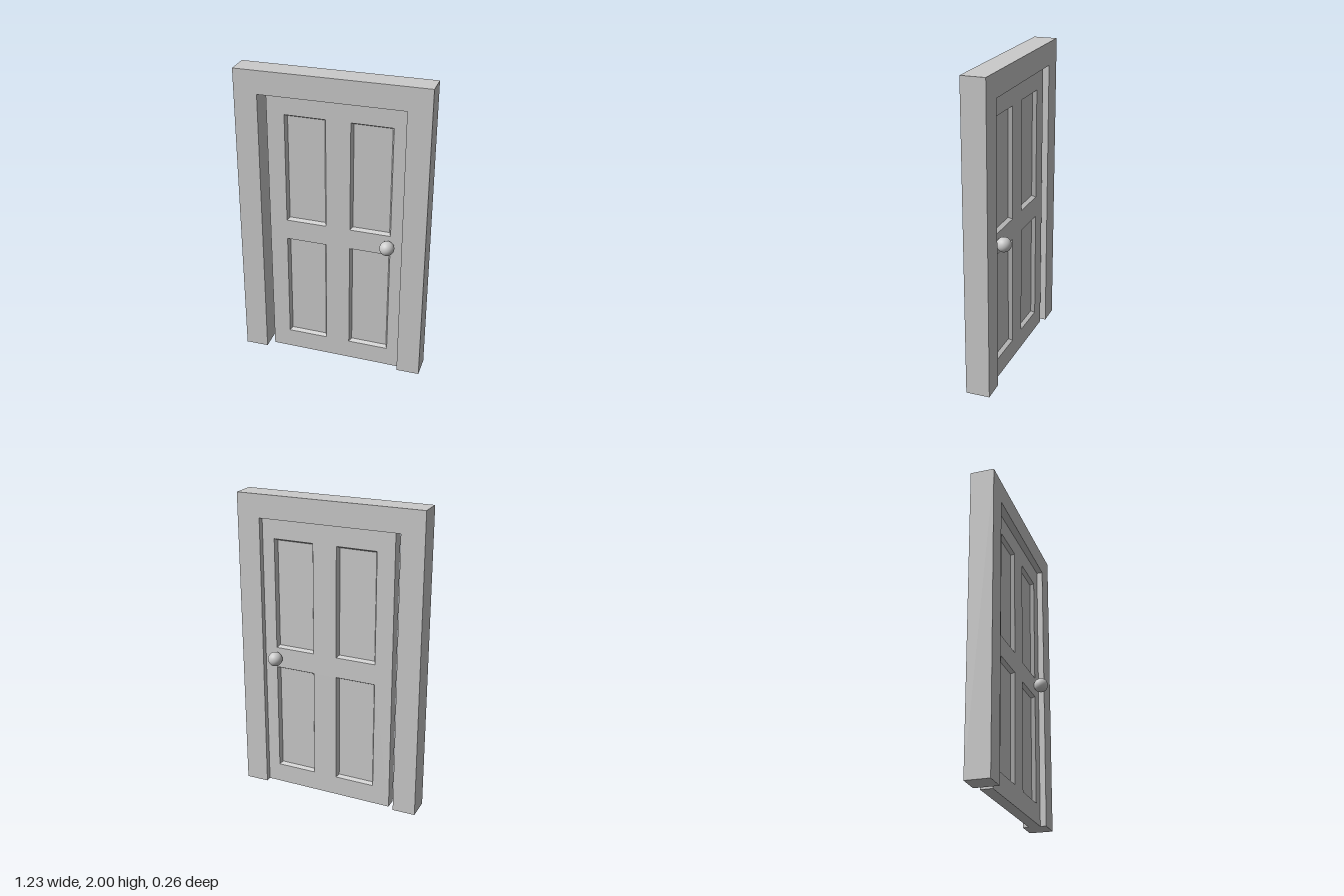
import * as THREE from 'three';

const material = new THREE.MeshStandardMaterial({ color: 0xcccccc });

const FRAME = { halfWidth: 0.6125, height: 2, halfDepth: 0.077, openHalf: 0.4625, openTop: 1.85 };
const DOOR = { halfWidth: 0.46, height: 1.85, halfDepth: 0.038, recess: 0.025, bevel: 0.013 };

function mesh(name, geometry) {
  const m = new THREE.Mesh(geometry, material);
  m.name = name;
  return m;
}

// Counter-clockwise corners of a rectangle, seen from +z
function rectangle(x0, y0, x1, y1) {
  return [[x0, y0], [x1, y0], [x1, y1], [x0, y1]].map(([x, y]) => new THREE.Vector2(x, y));
}

// Flat-sided walls joining one rectangle to another, with an optional end cap
function loftRectangles(a, za, b, zb, cap) {
  const positions = [];
  const push = (p, z) => positions.push(p.x, p.y, z);
  for (let i = 0; i < 4; i++) {
    const j = (i + 1) % 4;
    push(a[i], za); push(a[j], za); push(b[j], zb);
    push(a[i], za); push(b[j], zb); push(b[i], zb);
  }
  if (cap) [0, 1, 2, 0, 2, 3].forEach((i) => push(b[i], zb));
  const geometry = new THREE.BufferGeometry();
  geometry.setAttribute('position', new THREE.Float32BufferAttribute(positions, 3));
  geometry.computeVertexNormals();
  return geometry;
}

// Two jambs and a header in one piece
function createFrame() {
  const { halfWidth: w, height: h, halfDepth: d, openHalf: o, openTop: t } = FRAME;
  const outline = [[-w, 0], [-o, 0], [-o, t], [o, t], [o, 0], [w, 0], [w, h], [-w, h]];
  const shape = new THREE.Shape(outline.map(([x, y]) => new THREE.Vector2(x, y)));
  const geometry = new THREE.ExtrudeGeometry(shape, { depth: 2 * d, bevelEnabled: false });
  geometry.translate(0, 0, -d);
  return mesh('doorFrame', geometry);
}

// One side of the door: face with four recessed panels, half the edge, and a knob
function createDoorSide(name, knobX) {
  const side = new THREE.Group();
  side.name = name;
  const { halfWidth: w, height: h, halfDepth: d, recess, bevel: b } = DOOR;
  const outer = rectangle(-w, 0, w, h);
  const face = new THREE.Shape(outer);

  for (const [x0, x1] of [[-0.345, -0.079], [0.079, 0.345]]) {
    for (const [y0, y1] of [[0.13, 0.857], [0.993, 1.72]]) {
      const rim = rectangle(x0, y0, x1, y1);
      const floor = rectangle(x0 + b, y0 + b, x1 - b, y1 - b);
      face.holes.push(new THREE.Path(rim));
      side.add(mesh('recessedPanel', loftRectangles(rim, d, floor, d - recess, true)));
    }
  }

  side.add(mesh('doorFace', new THREE.ShapeGeometry(face).translate(0, 0, d)));
  side.add(mesh('doorEdge', loftRectangles(outer, 0, outer, d, false)));

  const knob = mesh('knob', new THREE.SphereGeometry(0.047, 32, 20));
  knob.position.set(knobX, 0.93, 0.083);
  side.add(knob);
  return side;
}

export function createModel() {
  const model = new THREE.Group();
  model.name = 'doorway';
  model.add(createFrame());

  // Door sits slightly ajar, its hinge edge set into the jamb
  const door = new THREE.Group();
  door.name = 'door';
  const front = createDoorSide('doorFront', 0.335);
  const back = createDoorSide('doorBack', -0.335);
  back.rotation.y = Math.PI;
  door.add(front, back);
  door.position.set(0.036, 0, -0.006);
  door.rotation.y = -0.014;
  model.add(door);
  return model;
}
